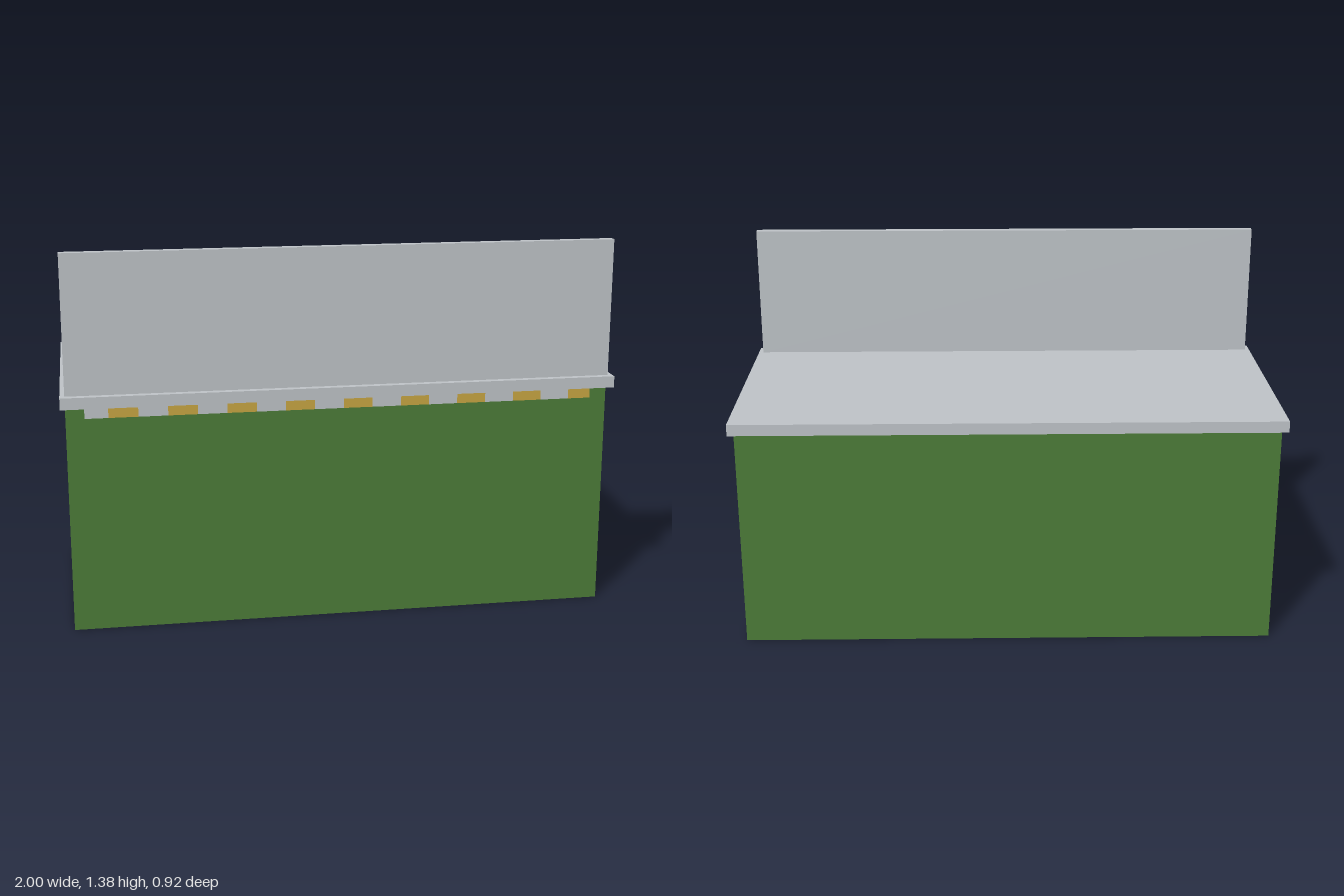
import * as THREE from 'three';

export function createModel() {
  const group = new THREE.Group();
  const material = (name, color) => {
    const m = new THREE.MeshStandardMaterial({ color });
    m.name = name;
    return m;
  };
  const green = material('green paint', 0x4d7d39);
  const grey = material('light grey', 0xc0c5c9);
  const yellow = material('yellow', 0xc9a743);

  // Box given by its lower and upper corners
  const box = (name, mat, [x0, y0, z0], [x1, y1, z1]) => {
    const mesh = new THREE.Mesh(new THREE.BoxGeometry(x1 - x0, y1 - y0, z1 - z0), mat);
    mesh.position.set((x0 + x1) / 2, (y0 + y1) / 2, (z0 + z1) / 2);
    mesh.name = name;
    group.add(mesh);
  };

  box('counterBody', green, [-0.983, 0, -0.417], [0.983, 0.835, 0.417]);
  box('countertop', grey, [-1, 0.835, -0.458], [1, 0.877, 0.458]);
  box('screenPanel', grey, [-0.983, 0.877, 0.402], [0.983, 1.377, 0.433]);

  // Striped trim under the front edge, with alternating grey and yellow blocks
  const step = 0.1043, end = 0.917;
  for (let i = -9; i < 9; i++) {
    const x0 = Math.max(i * step, -end), x1 = Math.min((i + 1) * step, end);
    box('trimBlock', i % 2 === 0 ? yellow : grey, [x0, 0.794, 0.417], [x1, 0.833, 0.433]);
  }

  return group;
}
